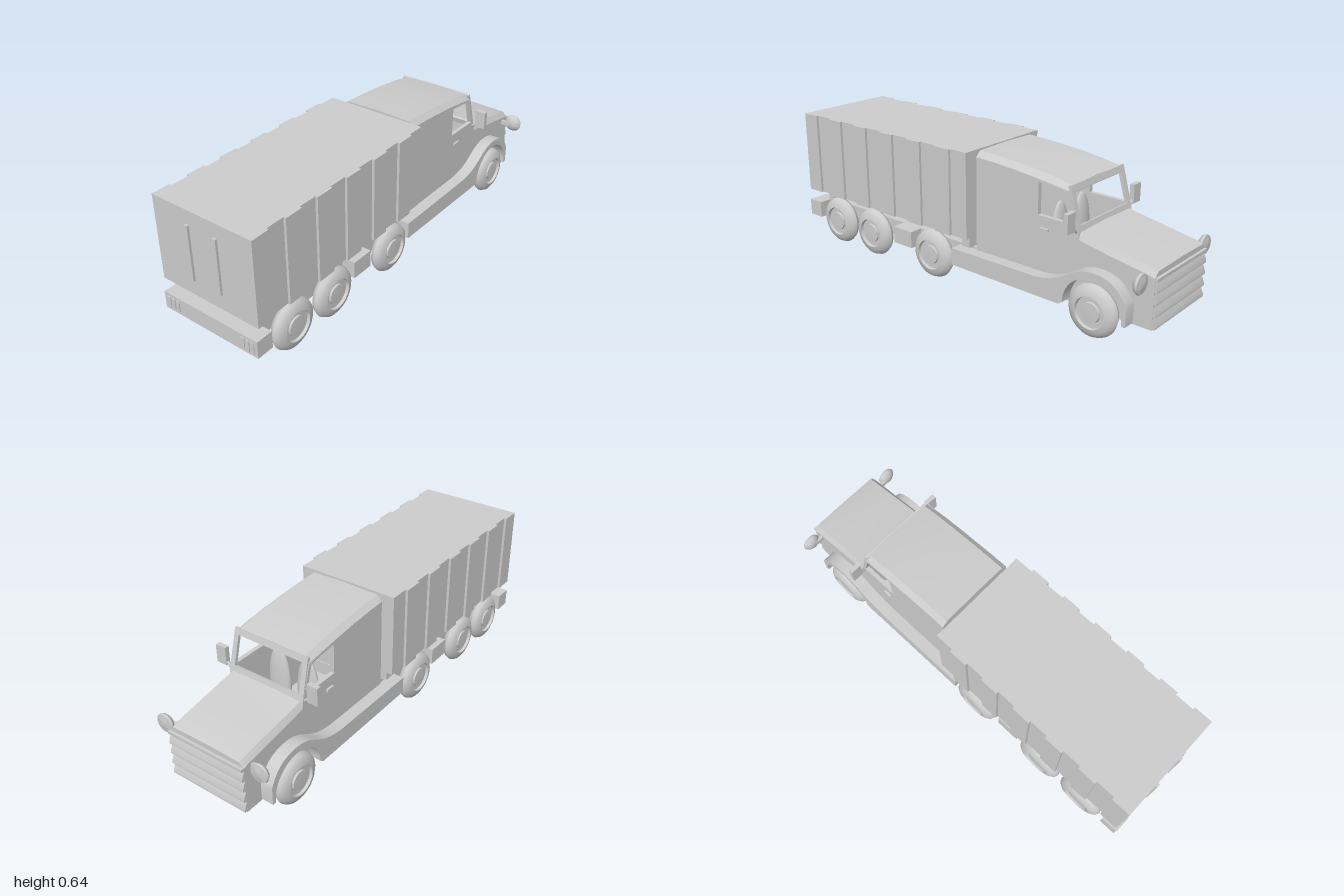
import * as THREE from 'three';
import { toCreasedNormals } from 'three/addons/utils/BufferGeometryUtils.js';

const material = new THREE.MeshStandardMaterial({ color: 0xcccccc });
const V = (pts) => pts.map(([x, y]) => new THREE.Vector2(x, y));

export function createModel() {
  const truck = new THREE.Group();
  truck.name = 'truck';

  const add = (name, geometry, parent = truck) => {
    const mesh = new THREE.Mesh(geometry, material);
    mesh.name = name;
    parent.add(mesh);
    return mesh;
  };
  // Box given by its minimum and maximum on each axis
  const box = (name, x0, x1, y0, y1, z0, z1) =>
    add(name, new THREE.BoxGeometry(x1 - x0, y1 - y0, z1 - z0)
      .translate((x0 + x1) / 2, (y0 + y1) / 2, (z0 + z1) / 2));
  const sideBox = (name, s, x0, x1, y0, y1, z0, z1) =>
    box(name, x0, x1, y0, y1, s > 0 ? z0 : -z1, s > 0 ? z1 : -z0);
  const extrude = (shape, depth) =>
    toCreasedNormals(new THREE.ExtrudeGeometry(shape, { depth, bevelEnabled: false, curveSegments: 16 }), 0.5);

  // Loft of chamfered sections along x: [x, bottom, shoulder, top, halfWidth, topHalfWidth]
  const loft = (sections) => {
    const pos = [];
    const rings = sections.map(([x, b, sh, t, w, tw]) => [
      [x, b, w], [x, b, -w], [x, sh, -w], [x, t, -tw], [x, t + 0.004, 0], [x, t, tw], [x, sh, w]]);
    const n = rings[0].length;
    for (let i = 0; i < rings.length - 1; i++)
      for (let j = 0; j < n; j++) {
        const k = (j + 1) % n, a = rings[i], b = rings[i + 1];
        pos.push(...a[j], ...a[k], ...b[j], ...a[k], ...b[k], ...b[j]);
      }
    const first = rings[0], last = rings[rings.length - 1];
    for (let j = 1; j < n - 1; j++) {
      pos.push(...last[0], ...last[j], ...last[j + 1]);
      pos.push(...first[0], ...first[j + 1], ...first[j]);
    }
    const g = new THREE.BufferGeometry();
    g.setAttribute('position', new THREE.Float32BufferAttribute(pos, 3));
    return toCreasedNormals(g, 0.5);
  };

  // Cargo box with alternating raised and recessed side panels
  const panels = 12, x0 = -0.985, step = 1.07 / panels;
  const edge = [];
  for (let i = 0; i < panels; i++) {
    const z = i % 2 ? 0.246 : 0.258;
    edge.push([x0 + i * step, z], [x0 + (i + 1) * step, z]);
  }
  const outline = [...edge, ...edge.slice().reverse().map(([x, z]) => [x, -z])];
  add('cargoBox', extrude(new THREE.Shape(V(outline)), 0.395).rotateX(-Math.PI / 2).translate(0, 0.245, 0));
  for (const s of [1, -1]) {
    sideBox('rearDoorBar', s, -0.996, -0.98, 0.32, 0.575, 0.065, 0.082);
    for (let i = 0; i < 3; i++)
      sideBox('rearLight', s, -1, -0.99, 0.12, 0.17, 0.17 + i * 0.025, 0.188 + i * 0.025);
  }
  box('rearSupport', -0.91, -0.87, 0.18, 0.25, -0.2, 0.2);
  box('frontSupport', 0.015, 0.06, 0.18, 0.25, -0.2, 0.2);

  // Chassis
  box('chassis', -0.95, 0.12, 0.105, 0.185, -0.175, 0.175);
  box('rearBumper', -0.996, -0.915, 0.105, 0.185, -0.255, 0.255);
  box('chassisLocker', -0.385, -0.27, 0.105, 0.185, -0.24, 0.24);

  // Cab floor, back wall and roof
  box('cabFloor', 0.1, 0.64, 0.1, 0.12, -0.19, 0.19);
  box('cabBack', 0.1, 0.115, 0.1, 0.62, -0.19, 0.19);
  add('cabRoof', loft([[0.1, 0.64], [0.2, 0.636], [0.3, 0.629], [0.4, 0.62], [0.5, 0.607], [0.585, 0.591]]
    .map(([x, t]) => [x, t - 0.035, t - 0.026, t - 0.002, 0.196, 0.17])));

  // Cab sides with window openings
  const wall = new THREE.Shape(V([[0.1, 0.1], [0.64, 0.1], [0.64, 0.39], [0.588, 0.57], [0.5, 0.583], [0.3, 0.605], [0.1, 0.615]]));
  wall.holes.push(new THREE.Path(V([[0.435, 0.575], [0.575, 0.56], [0.613, 0.435], [0.435, 0.435]])));

  // Flared sill and fender, following the wheel arch
  const fender = new THREE.Shape();
  fender.moveTo(0, 0.105);
  fender.lineTo(0.59, 0.105);
  fender.absarc(0.748, 0.118, 0.14, Math.PI, 0.0, true);
  fender.lineTo(0.888, 0.105);
  fender.lineTo(0.905, 0.105);
  fender.lineTo(0.905, 0.185);
  fender.bezierCurveTo(0.87, 0.27, 0.81, 0.29, 0.74, 0.288);
  fender.bezierCurveTo(0.63, 0.28, 0.62, 0.195, 0.45, 0.19);
  fender.lineTo(0, 0.185);

  for (const s of [1, -1]) {
    add('cabSide', extrude(wall, 0.02).translate(0, 0, s > 0 ? 0.175 : -0.195));
    add('fender', extrude(fender, 0.062).translate(0, 0, s > 0 ? 0.19 : -0.252));
    sideBox('doorHandle', s, 0.45, 0.492, 0.375, 0.386, 0.19, 0.205);
  }

  // Windshield frame, tilted back
  const frame = new THREE.Shape(V([[-0.195, 0], [0.195, 0], [0.19, 0.195], [-0.19, 0.195]]));
  frame.holes.push(new THREE.Path(V([[-0.17, 0.03], [-0.168, 0.168], [0.168, 0.168], [0.17, 0.03]])));
  add('windshieldFrame', extrude(frame, 0.014).rotateY(Math.PI / 2).rotateZ(0.255).translate(0.626, 0.4, 0));

  // Hood and nose
  add('hood', loft([
    [0.625, 0.1, 0.385, 0.412, 0.195, 0.18],
    [0.66, 0.1, 0.375, 0.402, 0.195, 0.18],
    [0.8, 0.1, 0.35, 0.378, 0.195, 0.178],
    [0.96, 0.1, 0.325, 0.35, 0.195, 0.176],
    [0.988, 0.1, 0.316, 0.34, 0.195, 0.174]]));

  // Grille slats, each leaning forward at its lower edge
  for (const y of [0.312, 0.264, 0.214, 0.162, 0.112]) {
    const slat = new THREE.Shape(V([[0.98, y - 0.007], [1, y - 0.007], [1, y + 0.004], [0.988, y + 0.034], [0.98, y + 0.034]]));
    if (y > 0.3) add('grilleSlat', new THREE.BoxGeometry(0.02, 0.014, 0.388).translate(0.99, y, 0));
    else add('grilleSlat', extrude(slat, 0.388).translate(0, 0, -0.194));
  }

  // Seats, headlights and mirrors
  const lamp = toCreasedNormals(new THREE.LatheGeometry(
    V([[0, 0], [0.022, 0.004], [0.037, 0.014], [0.044, 0.026], [0.041, 0.033], [0.034, 0.033], [0.02, 0.038], [0, 0.04]]), 24), 0.6)
    .rotateZ(-Math.PI / 2);
  for (const s of [1, -1]) {
    add('seatBack', new THREE.SphereGeometry(1, 24, 14).scale(0.025, 0.17, 0.058)).position.set(0.46, 0.302, s * 0.077);
    sideBox('seatCushion', s, 0.44, 0.58, 0.12, 0.25, 0.02, 0.135);
    add('headlight', lamp).position.set(0.934, 0.308, s * 0.25);
    sideBox('headlightArm', s, 0.935, 0.95, 0.295, 0.315, 0.185, 0.24);
    sideBox('mirror', s, 0.613, 0.635, 0.418, 0.503, 0.215, 0.267);
    const arm = new THREE.LineCurve3(new THREE.Vector3(0.625, 0.4, s * 0.18), new THREE.Vector3(0.625, 0.435, s * 0.225));
    add('mirrorArm', new THREE.TubeGeometry(arm, 1, 0.007, 8));
  }

  // Wheels with recessed rims and raised hubs, joined by axles
  const wheel = toCreasedNormals(new THREE.LatheGeometry(
    V([[0, 0], [0.06, 0], [0.09, 0.005], [0.108, 0.017], [0.115, 0.033], [0.108, 0.05], [0.09, 0.062], [0.07, 0.067],
      [0.067, 0.054], [0.045, 0.054], [0.043, 0.062], [0, 0.064]]), 36), 0.65).rotateX(Math.PI / 2);
  for (const x of [-0.777, -0.527, -0.127, 0.748]) {
    for (const s of [1, -1]) {
      const w = add('wheel', wheel);
      w.position.set(x, 0.12, s * 0.199);
      if (s < 0) w.rotation.y = Math.PI;
    }
    add('axle', new THREE.CylinderGeometry(0.016, 0.016, 0.42, 12).rotateX(Math.PI / 2)).position.set(x, 0.12, 0);
  }

  truck.position.y = -0.005;
  return truck;
}
